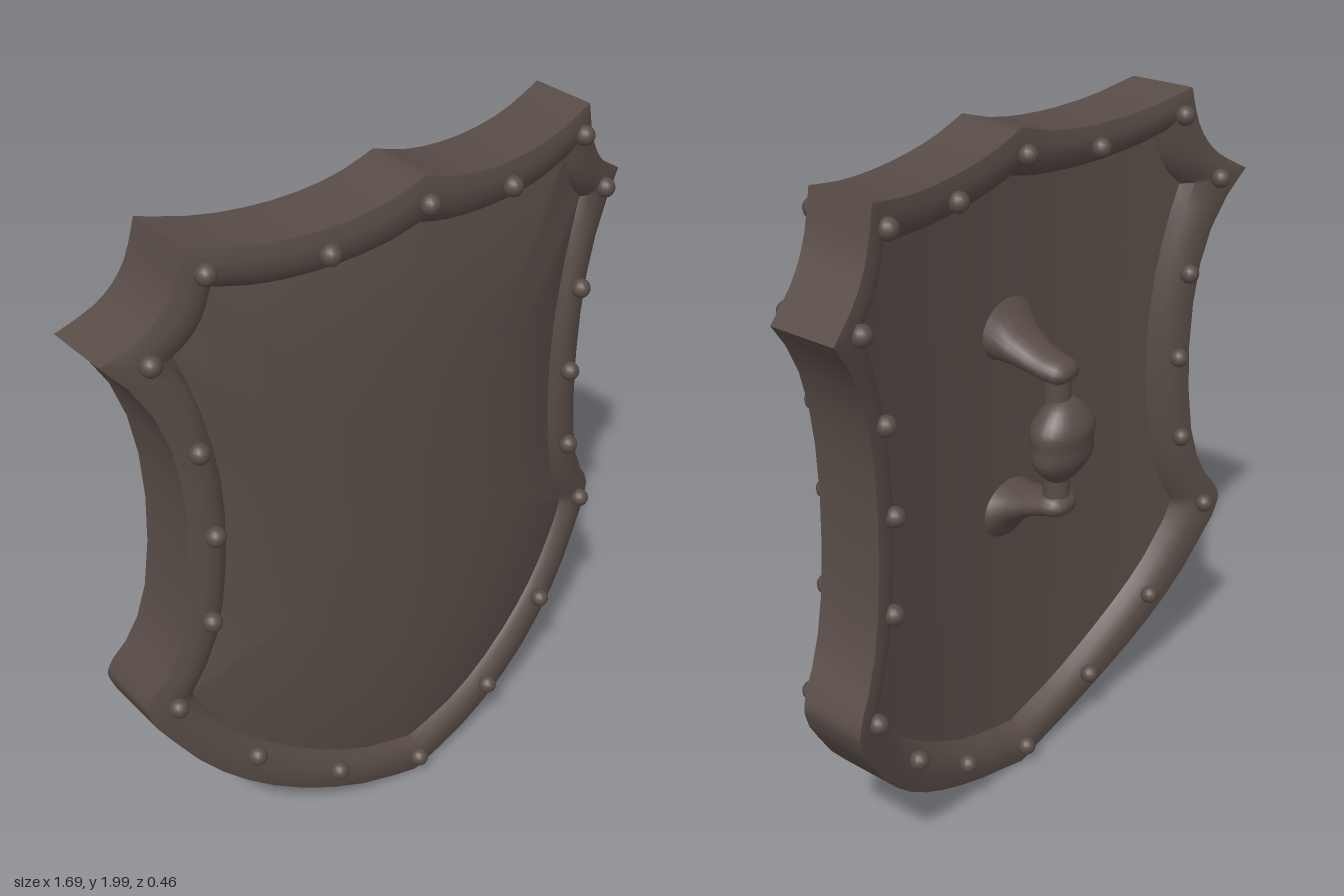
import * as THREE from 'three';
import { toCreasedNormals } from 'three/addons/utils/BufferGeometryUtils.js';

const STEPS = 10;
// Mid-surface of the shield, bowed around the vertical axis
const bow = (x) => 0.085 - 0.21 * x * x;

// Right half outlines, one list of points per smooth segment, top to bottom
const OUTER = [
  [[0, 2], [0.13, 1.962], [0.3, 1.945], [0.48, 1.953], [0.64, 1.985]],
  [[0.64, 1.985], [0.675, 1.87], [0.74, 1.785], [0.845, 1.72]],
  [[0.845, 1.72], [0.76, 1.61], [0.705, 1.47], [0.68, 1.3], [0.68, 1.1], [0.705, 0.9], [0.75, 0.77], [0.805, 0.69]],
  [[0.805, 0.69], [0.823, 0.64], [0.803, 0.575]],
  [[0.803, 0.575], [0.67, 0.38], [0.49, 0.22], [0.25, 0.09], [0, 0.01]],
];
const INNER = [
  [[0, 1.86], [0.13, 1.833], [0.3, 1.822], [0.45, 1.83], [0.565, 1.853]],
  [[0.565, 1.853], [0.585, 1.79], [0.615, 1.74], [0.66, 1.695]],
  [[0.66, 1.695], [0.62, 1.58], [0.587, 1.44], [0.567, 1.3], [0.565, 1.12], [0.585, 0.93], [0.62, 0.79], [0.67, 0.68]],
  [[0.67, 0.68], [0.682, 0.645], [0.66, 0.59]],
  [[0.66, 0.59], [0.56, 0.45], [0.4, 0.315], [0.2, 0.2], [0, 0.14]],
];

// Samples the half outline and mirrors it into a closed clockwise loop
function outline(segments) {
  const half = segments.flatMap((seg) =>
    new THREE.SplineCurve(seg.map((p) => new THREE.Vector2(...p))).getPoints(STEPS).slice(0, -1));
  const last = segments[segments.length - 1];
  const bottom = new THREE.Vector2(...last[last.length - 1]);
  const mirrored = half.slice(1).reverse().map((p) => new THREE.Vector2(-p.x, p.y));
  return [...half, bottom, ...mirrored];
}

// Surface closed around i and open along j
function loft(ni, nj, point, crease = 0.75) {
  const pos = [], index = [];
  for (let i = 0; i < ni; i++) for (let j = 0; j < nj; j++) pos.push(...point(i, j));
  for (let i = 0; i < ni; i++) {
    const n = (i + 1) % ni;
    for (let j = 0; j < nj - 1; j++) {
      const a = i * nj + j, b = n * nj + j;
      index.push(a, a + 1, b, a + 1, b + 1, b);
    }
  }
  const geo = new THREE.BufferGeometry();
  geo.setAttribute('position', new THREE.Float32BufferAttribute(pos, 3));
  geo.setIndex(index);
  return toCreasedNormals(geo, crease);
}

export function createModel() {
  const group = new THREE.Group();
  const iron = new THREE.MeshStandardMaterial({ color: 0x574b46 });
  iron.name = 'dark iron';
  const add = (name, geo, parent = group) => {
    const mesh = new THREE.Mesh(geo, iron);
    mesh.name = name;
    parent.add(mesh);
    return mesh;
  };

  const outer = outline(OUTER), inner = outline(INNER), n = outer.length;

  // Rim: [fraction from outer to inner edge, depth from the mid-surface]
  const rimProfile = [[0, -0.1], [0, 0.1], [0.3, 0.11], [0.6, 0.107], [0.85, 0.092], [1, 0.065],
    [1, -0.045], [0.85, -0.08], [0.6, -0.104], [0.3, -0.108], [0, -0.1]];
  add('rim', loft(n, rimProfile.length, (i, j) => {
    const [t, dz] = rimProfile[j];
    const p = outer[i].clone().lerp(inner[i], t);
    return [p.x, p.y, bow(p.x) + dz];
  }));

  // Panel: back from centre to edge, then front from edge to centre
  const rings = [0, 0.2, 0.4, 0.6, 0.75, 0.88, 0.95, 1.01];
  const panelProfile = [...rings.map((s) => [s, -0.05]),
    ...rings.slice().reverse().map((s) => [s, 0.072 + 0.033 * (1 - Math.min(1, s) ** 5)])];
  add('panel', loft(n, panelProfile.length, (i, j) => {
    const [s, dz] = panelProfile[j];
    const x = inner[i].x * s, y = 1.1 + (inner[i].y - 1.1) * s;
    return [x, y, bow(x) + dz];
  }));

  // Rivets on both faces of the rim
  const rivets = new THREE.Group();
  rivets.name = 'rivets';
  group.add(rivets);
  const rivetGeo = new THREE.SphereGeometry(0.028, 14, 10);
  const spots = [[0, 1.93], [0.29, 1.885], [0.6, 1.915], [0.74, 1.71], [0.645, 1.44], [0.62, 1.18],
    [0.645, 0.91], [0.75, 0.645], [0.545, 0.38], [0.292, 0.193], [0, 0.077]];
  for (const [x, y] of spots) {
    for (const side of x ? [1, -1] : [1]) {
      for (const face of [1, -1]) {
        add(face > 0 ? 'frontRivet' : 'backRivet', rivetGeo, rivets)
          .position.set(side * x, y, bow(x) + face * 0.118);
      }
    }
  }

  // Handle on the back
  const handle = new THREE.Group();
  handle.name = 'handle';
  group.add(handle);

  // Flared brackets: [z, half width, half height, distance from grip centre]
  const bracket = [[-0.185, 0, 0, 0.2], [-0.18, 0.035, 0.02, 0.2], [-0.16, 0.055, 0.034, 0.2],
    [-0.12, 0.062, 0.037, 0.205], [-0.07, 0.068, 0.04, 0.22], [-0.02, 0.08, 0.052, 0.24],
    [0.02, 0.1, 0.075, 0.265], [0.05, 0.125, 0.1, 0.285]];
  for (const dir of [1, -1]) {
    add(dir > 0 ? 'upperBracket' : 'lowerBracket', loft(20, bracket.length, (i, j) => {
      const a = (i / 20) * Math.PI * 2;
      const [z, w, h, d] = bracket[j];
      return [Math.sin(a) * w, 1.165 + dir * d + Math.cos(a) * h, z];
    }, 1.2), handle);
  }

  add('gripBar', new THREE.CylinderGeometry(0.038, 0.038, 0.42, 16), handle).position.set(0, 1.165, -0.135);

  // Rounded, lumpy grip, fuller near the top
  const grip = new THREE.SphereGeometry(1, 28, 20);
  const gp = grip.attributes.position;
  for (let i = 0; i < gp.count; i++) {
    const x = gp.getX(i), y = gp.getY(i), z = gp.getZ(i);
    const r = 1 + 0.05 * Math.cos(y * 8 - 3) * Math.sqrt(Math.max(0, 1 - y * y));
    gp.setXYZ(i, x * r * 0.112, y * 0.125, z * r * (0.074 + 0.012 * y));
  }
  grip.computeVertexNormals();
  add('grip', grip, handle).position.set(0, 1.165, -0.155);

  return group;
}
